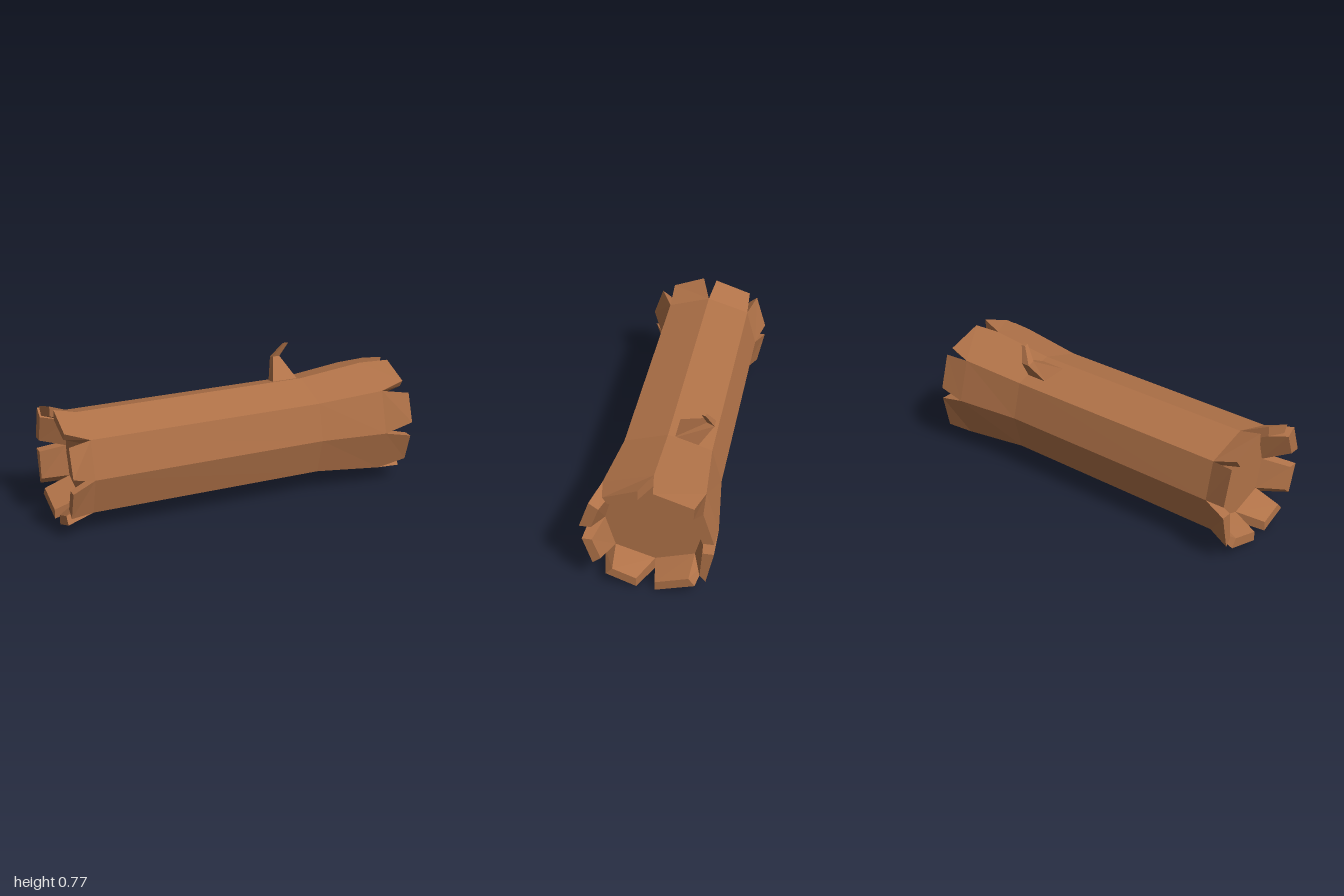
import * as THREE from 'three';

const CY = 0.335, CZ = -0.013;

// Faceted mesh from four-cornered faces; flip reverses the corner order
function facetMesh(name, quads, material, flip = false) {
  const pos = [];
  for (const [a, b, c, d] of quads) {
    const tris = flip ? [a, c, b, a, d, c] : [a, b, c, a, c, d];
    for (const p of tris) pos.push(...p);
  }
  const geo = new THREE.BufferGeometry();
  geo.setAttribute('position', new THREE.Float32BufferAttribute(pos, 3));
  geo.computeVertexNormals();
  const mesh = new THREE.Mesh(geo, material);
  mesh.name = name;
  return mesh;
}

// Eight-sided section, from the top round towards +z
function ring(x, top, diagY, diagZ, side) {
  return [[top, 0], [diagY, diagZ], [0, side], [-diagY, diagZ],
    [-top, 0], [-diagY, -diagZ], [0, -side], [diagY, -diagZ]]
    .map(([y, z]) => [x, CY + y, CZ + z]);
}

// Faces joining two sections of equal corner count
function join(r0, r1) {
  return r0.map((a, i) => {
    const j = (i + 1) % r0.length;
    return [a, r0[j], r1[j], r1[i]];
  });
}

// Splinter ends as [z, y]: outer start, outer end, inner start, inner end
const TIPS = [
  [[0.04, 0.667], [0.22, 0.598], [0.04, 0.61], [0.195, 0.558]],
  [[0.293, 0.55], [0.348, 0.39], [0.243, 0.513], [0.287, 0.39]],
  [[0.337, 0.305], [0.287, 0.145], [0.285, 0.305], [0.243, 0.182]],
  [[0.22, 0.077], [0.06, 0.013], [0.185, 0.117], [0.06, 0.068]],
  [[-0.037, 0.003], [-0.247, 0.066], [-0.037, 0.057], [-0.215, 0.112]],
  [[-0.303, 0.107], [-0.345, 0.303], [-0.272, 0.145], [-0.285, 0.303]],
  [[-0.345, 0.37], [-0.288, 0.565], [-0.285, 0.37], [-0.24, 0.525]],
  [[-0.243, 0.59], [-0.037, 0.66], [-0.21, 0.545], [-0.037, 0.603]],
];

// Recessed end face surrounded by splayed splinters
function brokenEnd(name, outer, inner, tipX, material) {
  const group = new THREE.Group();
  group.name = name;
  const flip = tipX < 0;
  const hub = [inner[0][0], CY, CZ];
  const cap = [0, 2, 4, 6].map((i) => [hub, inner[i], inner[i + 1], inner[(i + 2) % 8]]);
  group.add(facetMesh('endFace', cap, material, flip));
  TIPS.forEach((tip, i) => {
    const j = (i + 1) % 8;
    const [O0, O1, N0, N1] = tip.map(([z, y]) => [tipX, y, z]);
    const o0 = outer[i], o1 = outer[j], n0 = inner[i], n1 = inner[j];
    group.add(facetMesh('splinter', [
      [o0, o1, O1, O0], [n1, n0, N0, N1],
      [o0, O0, N0, n0], [o1, n1, N1, O1], [O0, O1, N1, N0],
    ], material, flip));
  });
  return group;
}

export function createModel() {
  const bark = new THREE.MeshStandardMaterial({ color: 0xb07248 });
  bark.name = 'barkBrown';
  const log = new THREE.Group();
  log.name = 'log';

  // Trunk: straight, then widening towards +x
  const left = ring(-0.86, 0.28, 0.208, 0.235, 0.29);
  const middle = ring(0.47, 0.278, 0.205, 0.235, 0.288);
  const right = ring(0.85, 0.318, 0.235, 0.266, 0.333);
  log.add(facetMesh('trunk', [...join(left, middle), ...join(middle, right)], bark));

  // Broken ends
  log.add(brokenEnd('rightEnd', right, ring(0.85, 0.25, 0.183, 0.21, 0.26), 1, bark));
  log.add(brokenEnd('leftEnd', left, ring(-0.86, 0.222, 0.163, 0.186, 0.231), -1, bark));

  // Bent twig
  const base = [[0.30, 0.585, -0.02], [0.47, 0.585, -0.02], [0.47, 0.55, -0.165], [0.34, 0.55, -0.165]];
  const bend = [[0.39, 0.69, -0.212], [0.43, 0.69, -0.212], [0.44, 0.678, -0.253], [0.39, 0.678, -0.253]];
  const tip = [[0.45, 0.772, -0.19], [0.475, 0.772, -0.19], [0.475, 0.765, -0.212], [0.45, 0.765, -0.212]];
  log.add(facetMesh('twig', [...join(base, bend), ...join(bend, tip), tip], bark));

  return log;
}
